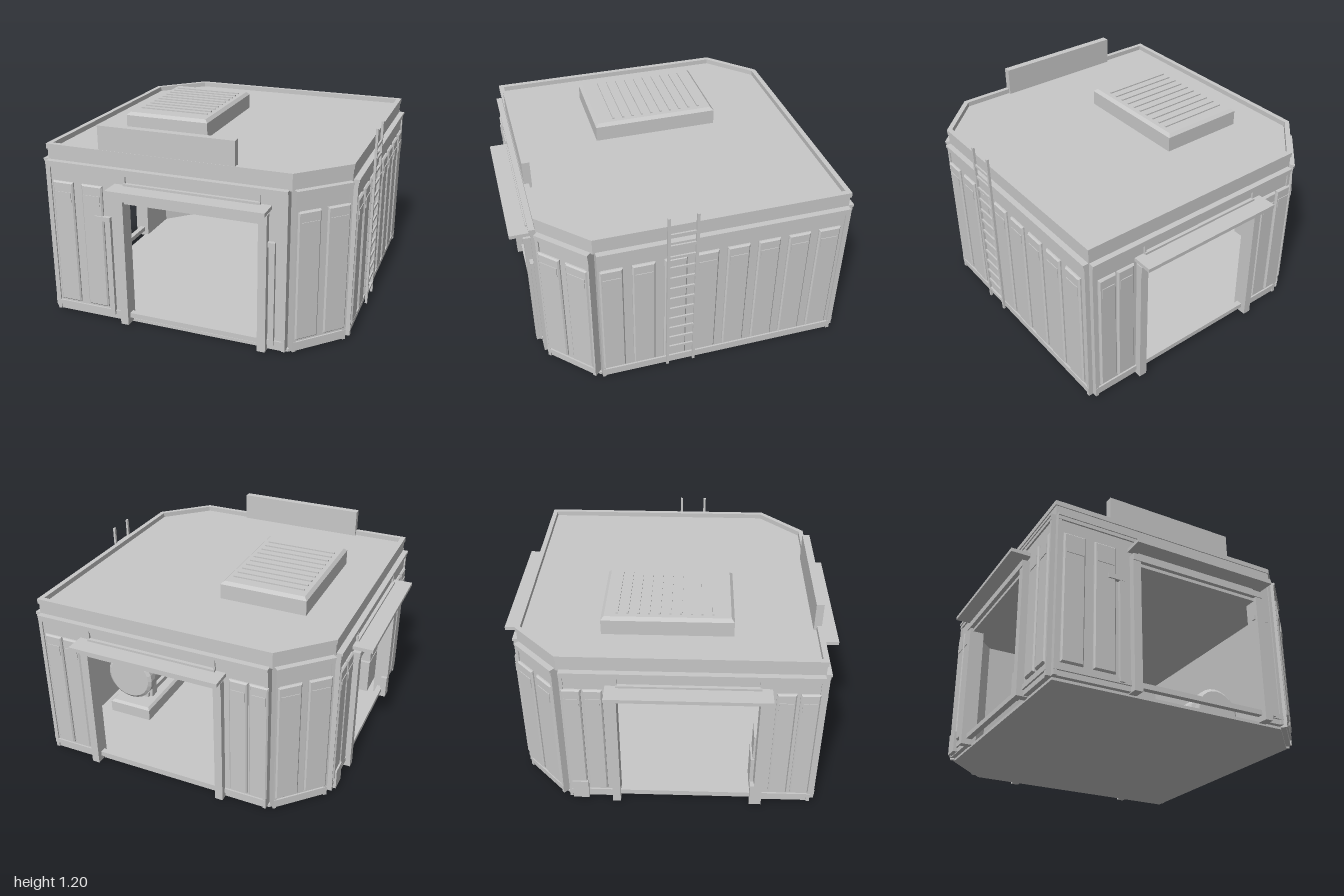
import * as THREE from 'three';

const grey = new THREE.MeshStandardMaterial({ color: 0xc8c8c8 });
grey.name = 'light concrete grey';

function add(parent, name, geometry) {
  const mesh = new THREE.Mesh(geometry, grey);
  mesh.name = name;
  parent.add(mesh);
  return mesh;
}

// Box given by its minimum and maximum corners
function box(parent, name, x0, x1, y0, y1, z0, z1) {
  const mesh = add(parent, name, new THREE.BoxGeometry(x1 - x0, y1 - y0, z1 - z0));
  mesh.position.set((x0 + x1) / 2, (y0 + y1) / 2, (z0 + z1) / 2);
  return mesh;
}

// Plan outline with two cut corners, pushed outward by o
function outline(o) {
  const t = o * 0.414;
  return [
    [-0.83 - o, 0.88 + o], [0.65 + t, 0.88 + o], [0.92 + o, 0.61 + t],
    [0.92 + o, -0.88 - o], [-0.56 - t, -0.88 - o], [-0.83 - o, -0.61 - t],
  ].map(([x, z]) => new THREE.Vector2(x, -z));
}

// Horizontal slab, or ring when an inner offset is given
function slab(parent, name, y0, y1, outer, inner) {
  const shape = new THREE.Shape(outline(outer));
  if (inner !== undefined) shape.holes.push(new THREE.Path(outline(inner)));
  const geometry = new THREE.ExtrudeGeometry(shape, { depth: y1 - y0, bevelEnabled: false });
  geometry.rotateX(-Math.PI / 2);
  add(parent, name, geometry).position.y = y0;
}

// Bevelled rectangular plate rising from z = 0
function plate(parent, name, x0, x1, y0, y1, depth, b) {
  const shape = new THREE.Shape([
    new THREE.Vector2(x0 + b, y0 + b), new THREE.Vector2(x1 - b, y0 + b),
    new THREE.Vector2(x1 - b, y1 - b), new THREE.Vector2(x0 + b, y1 - b),
  ]);
  return add(parent, name, new THREE.ExtrudeGeometry(shape, {
    depth: depth - b, bevelThickness: b, bevelSize: b, bevelSegments: 1,
  }));
}

// Wall panel with a small label plate near its top
function panel(wall, centre, width) {
  const h = width / 2;
  plate(wall, 'wallPanel', centre - h, centre + h, 0.09, 0.85, 0.016, 0.008);
  box(wall, 'panelLabel', centre - h + 0.015, centre + h - 0.015, 0.73, 0.79, 0.014, 0.02);
}

// Door frame, lintel and canopy around an opening centred on c
function doorway(wall, c) {
  box(wall, 'lintel', c - 0.445, c + 0.445, 0.79, 0.83, -0.04, 0.045);
  box(wall, 'lintelStep', c - 0.4, c + 0.4, 0.77, 0.79, -0.05, 0.02);
  box(wall, 'canopyBack', c - 0.4, c + 0.4, 0.83, 0.89, -0.01, 0.02);
  box(wall, 'canopy', c - 0.46, c + 0.46, 0.855, 0.877, 0, 0.12);
  for (const s of [-1, 1]) {
    const post = c + s * 0.422, seam = c + s * 0.395;
    box(wall, 'doorPost', post - 0.024, post + 0.024, 0.01, 0.83, -0.05, 0.04);
    box(wall, 'upperSeam', seam - 0.005, seam + 0.005, 0.88, 0.965, 0, 0.012);
  }
}

// Wall in its own frame: x runs along it, z points outward; ends stop short of the corners
function makeWall(model, name, x, z, angle, start, end, panels, width, door) {
  const wall = new THREE.Group();
  wall.name = name;
  wall.position.set(x, 0, z);
  wall.rotation.y = angle;
  model.add(wall);
  const a = start + 0.02, b = end - 0.02;
  if (door === undefined) {
    box(wall, 'wallBody', a, b, 0.015, 0.96, -0.05, 0);
  } else {
    box(wall, 'wallBody', a, door - 0.4, 0.015, 0.96, -0.05, 0);
    box(wall, 'wallBody', door + 0.4, b, 0.015, 0.96, -0.05, 0);
    box(wall, 'wallAboveDoor', door - 0.4, door + 0.4, 0.77, 0.96, -0.05, 0);
    doorway(wall, door);
  }
  for (const c of panels) panel(wall, c, width);
  for (const end of [a, b - 0.02]) box(wall, 'cornerTrim', end, end + 0.02, 0.015, 0.96, -0.02, 0.008);
  box(wall, 'skirtingBar', a, b, 0.045, 0.075, -0.025, 0.01);
  box(wall, 'corniceLower', a, b, 0.93, 0.952, -0.04, 0.01);
  box(wall, 'corniceUpper', a, b, 0.952, 0.968, -0.04, 0.016);
  return wall;
}

export function createModel() {
  const model = new THREE.Group();
  model.name = 'garageBuilding';

  // Floor and roof
  slab(model, 'floor', 0, 0.018, -0.028);
  slab(model, 'roof', 0.96, 1.03, -0.018);
  slab(model, 'parapet', 1.03, 1.06, -0.012, -0.042);

  // Walls
  const P = Math.PI;
  const front = makeWall(model, 'frontWall', 0, 0.88, 0, -0.83, 0.65, [-0.71, -0.525], 0.13, 0.08);
  const right = makeWall(model, 'rightWall', 0.92, 0, P / 2, -0.61, 0.88,
    Array.from({ length: 8 }, (_, i) => -0.515 + i * 0.181), 0.13);
  makeWall(model, 'backWall', 0, -0.88, P, -0.92, 0.56, [-0.81, -0.69, 0.37, 0.49], 0.11, -0.165);
  const left = makeWall(model, 'leftWall', -0.83, 0, -P / 2, -0.61, 0.88,
    [-0.53, -0.41, 0.66, 0.79], 0.11, 0.12);
  makeWall(model, 'frontCutCorner', 0.785, 0.745, P / 4, -0.191, 0.191, [-0.09, 0.09], 0.14);
  makeWall(model, 'backCutCorner', -0.695, -0.745, -3 * P / 4, -0.191, 0.191, [-0.09, 0.09], 0.14);

  // Pipes beside the front door
  for (const x of [-0.425, 0.555]) {
    box(front, 'pipeUpright', x - 0.015, x + 0.012, 0.05, 0.65, 0, 0.022);
    box(front, 'pipeArm', x - 0.085, x + 0.012, 0.645, 0.672, 0, 0.024);
  }
  // Short blocks beside the side door
  box(left, 'wallBlock', -0.565, -0.47, 0.02, 0.15, 0, 0.026);
  box(left, 'wallBlock', 0.495, 0.545, 0.01, 0.16, 0, 0.04);

  // Ladder on the right wall
  const ladder = new THREE.Group();
  ladder.name = 'ladder';
  right.add(ladder);
  for (const x of [-0.2, -0.04]) box(ladder, 'ladderRail', x - 0.008, x + 0.008, 0.03, 1.145, 0.016, 0.03);
  for (let i = 0; i < 13; i++) {
    const y = 0.09 + i * 0.078;
    box(ladder, 'ladderRung', -0.2, -0.04, y - 0.008, y + 0.008, 0.018, 0.028);
  }

  // Roof ventilator with sloped top edge and slats
  const ventilator = new THREE.Group();
  ventilator.name = 'roofVentilator';
  model.add(ventilator);
  const housing = plate(ventilator, 'ventilatorHousing', -0.56, -0.03, -0.37, 0.38, 0.11, 0.018);
  housing.rotation.x = -P / 2;
  housing.position.y = 1.03;
  for (let i = 0; i < 10; i++) {
    const z = -0.29 + i * 0.06;
    box(ventilator, 'ventilatorSlat', -0.515, -0.075, 1.135, 1.148, z - 0.006, z + 0.006);
  }

  // Blank board above the front door
  box(model, 'roofBoard', -0.48, 0.33, 1.03, 1.2, 0.822, 0.866);

  // Tank machine on a plinth inside
  const machine = new THREE.Group();
  machine.name = 'tankMachine';
  model.add(machine);
  const plinth = plate(machine, 'machinePlinth', 0.49, 0.78, -0.35, 0.42, 0.09, 0.015);
  plinth.rotation.x = -P / 2;
  plinth.position.y = 0.018;
  const profile = [[0, 0], [0.14, 0], [0.16, 0.015], [0.16, 0.06], [0.145, 0.07], [0.145, 0.6],
    [0.16, 0.61], [0.16, 0.66], [0.14, 0.675], [0, 0.675]].map(([r, h]) => new THREE.Vector2(r, h));
  const tankGeometry = new THREE.LatheGeometry(profile, 24).toNonIndexed();
  tankGeometry.computeVertexNormals();
  const tank = add(machine, 'tank', tankGeometry);
  tank.rotation.x = P / 2;
  tank.position.set(0.635, 0.31, -0.4);
  box(machine, 'tankBed', 0.56, 0.71, 0.1, 0.14, -0.3, 0.24);
  for (const z of [-0.28, 0.12]) box(machine, 'tankCradle', 0.54, 0.73, 0.1, 0.22, z, z + 0.06);

  // Cabinet inside by the side door
  box(model, 'cabinetBase', -0.74, -0.6, 0.018, 0.25, 0.5, 0.8);
  box(model, 'cabinetTop', -0.74, -0.61, 0.26, 0.43, 0.51, 0.8);
  box(model, 'cabinetNeck', -0.73, -0.62, 0.25, 0.26, 0.52, 0.79);
  return model;
}
